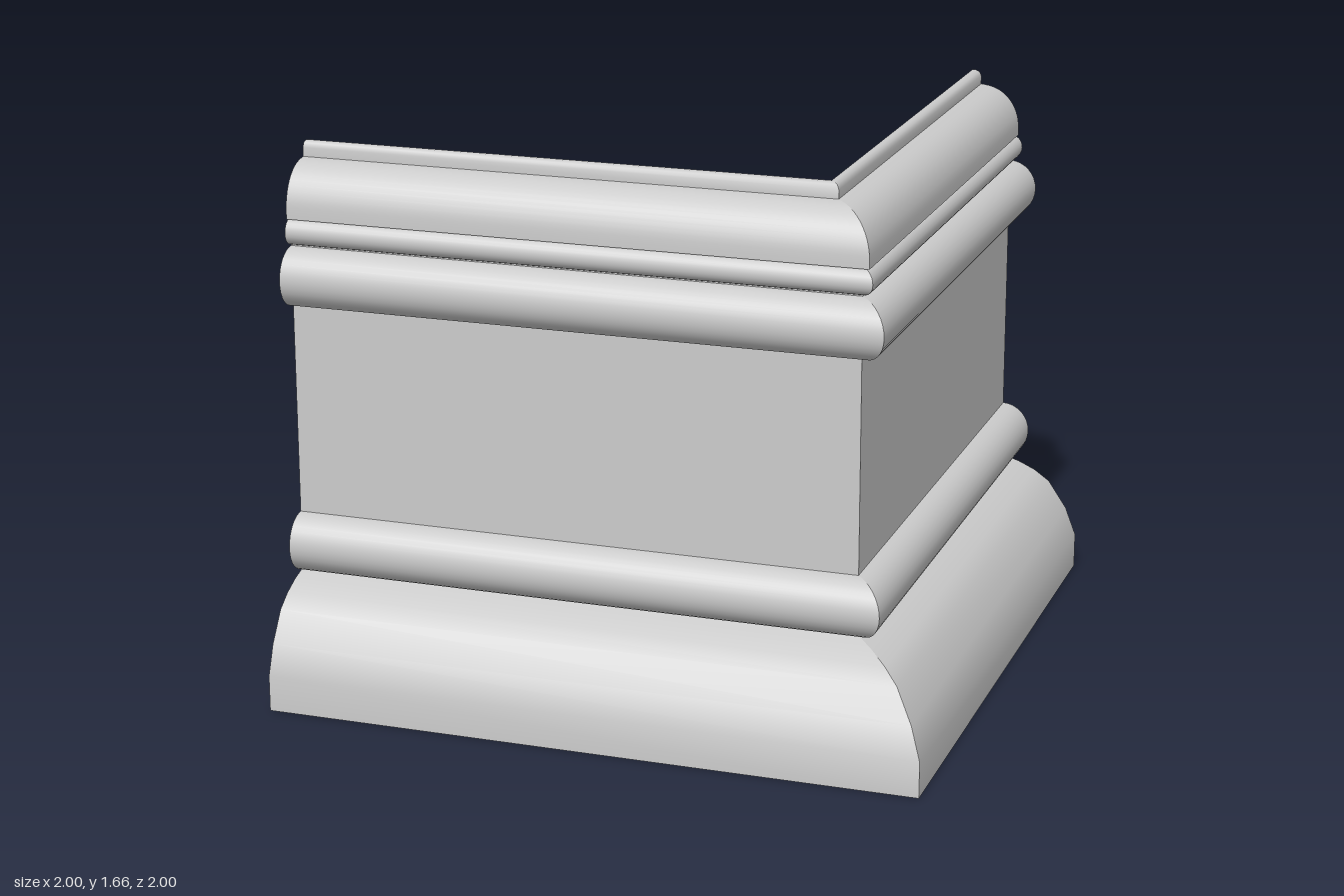
import * as THREE from 'three';

const material = new THREE.MeshStandardMaterial({ color: 0xcccccc, side: THREE.DoubleSide });

// Half-round profile bulging outwards, listed from top to bottom
function halfRound(offset, y, depth, halfHeight, steps) {
  return Array.from({ length: steps + 1 }, (_, i) => {
    const a = Math.PI / 2 - (Math.PI * i) / steps;
    return [offset + depth * Math.cos(a), y + halfHeight * Math.sin(a)];
  });
}

// Profile point [d, y] swept along one arm, mitred where the arms meet
const frontArm = ([d, y]) => [-1, y, d, d, y, d];
const sideArm = ([d, y]) => [d, y, d, d, y, -1];

function sweep(profile, arm) {
  const index = [];
  for (let i = 0; i < profile.length - 1; i++) {
    const a = 2 * i;
    index.push(a, a + 2, a + 3, a, a + 3, a + 1);
  }
  const geometry = new THREE.BufferGeometry();
  geometry.setAttribute('position', new THREE.Float32BufferAttribute(profile.flatMap(arm), 3));
  geometry.setIndex(index);
  geometry.computeVertexNormals();
  return geometry;
}

export function createModel() {
  const group = new THREE.Group();
  group.name = 'cornerMoulding';

  // Each strip is smooth in itself and meets the next at a sharp edge
  const strips = {
    topLip: [[0.61, 1.66], [0.622, 1.66], [0.633, 1.655], [0.64, 1.642], [0.64, 1.615]],
    crownCove: new THREE.SplineCurve([
      [0.64, 1.615], [0.67, 1.611], [0.70, 1.6], [0.727, 1.58], [0.748, 1.553],
      [0.762, 1.52], [0.767, 1.49], [0.768, 1.455],
    ].map(([d, y]) => new THREE.Vector2(d, y))).getPoints(14).map((p) => [p.x, p.y]),
    crownLedge: [[0.768, 1.455], [0.743, 1.455]],
    smallBead: halfRound(0.743, 1.415, 0.039, 0.04, 12),
    beadGap: [[0.743, 1.375], [0.743, 1.37]],
    upperBead: halfRound(0.743, 1.28, 0.087, 0.09, 16),
    panel: [[0.743, 1.19], [0.743, 0.545]],
    lowerBead: halfRound(0.743, 0.455, 0.087, 0.09, 16),
    base: [[0.743, 0.365], [0.80, 0.348], [0.855, 0.323], [0.905, 0.288], [0.965, 0.2], [1, 0.11], [1, 0]],
  };

  for (const [name, profile] of Object.entries(strips)) {
    const part = new THREE.Group();
    part.name = name;
    for (const [side, arm] of [['Front', frontArm], ['Side', sideArm]]) {
      const mesh = new THREE.Mesh(sweep(profile, arm), material);
      mesh.name = name + side;
      part.add(mesh);
    }
    group.add(part);
  }
  return group;
}
